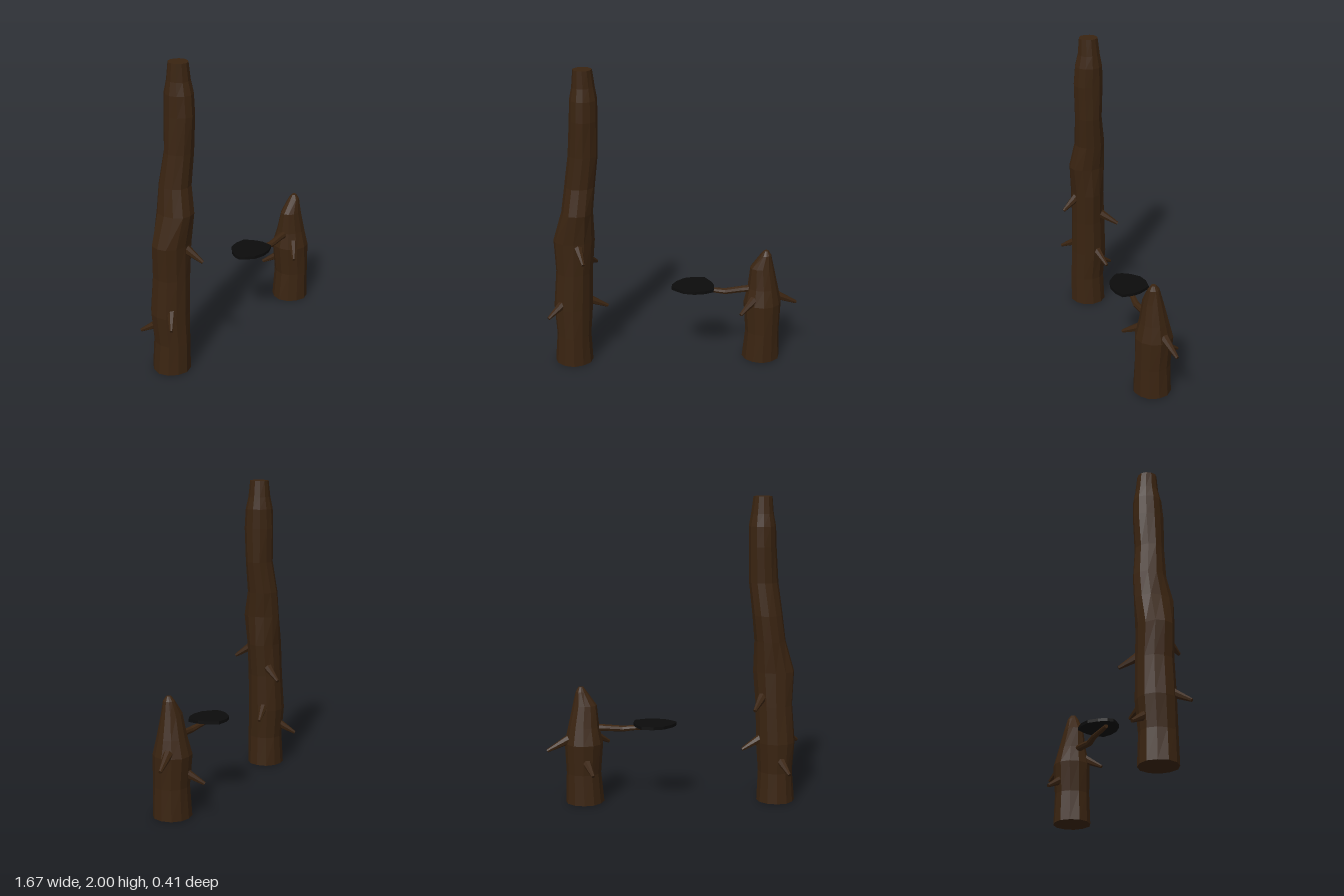
import * as THREE from 'three';

const bark = new THREE.MeshStandardMaterial({ color: 0x3a2411, flatShading: true });
bark.name = 'dark bark';
const black = new THREE.MeshStandardMaterial({ color: 0x0c0c0c, flatShading: true });
black.name = 'black leaf';

// Closed loft through horizontal rings: [y, minX, maxX, minZ, maxZ]
function loft(name, rings, sides, wobble) {
  const pos = [], idx = [];
  rings.forEach(([y, x0, x1, z0, z1], i) => {
    for (let j = 0; j < sides; j++) {
      const a = (j / sides) * Math.PI * 2;
      const k = 1 + wobble * Math.sin(j * 2.5 + i * 0.7);
      pos.push((x0 + x1) / 2 + Math.cos(a) * k * (x1 - x0) / 2, y,
        (z0 + z1) / 2 + Math.sin(a) * k * (z1 - z0) / 2);
    }
  });
  const at = (i, j) => i * sides + (j % sides);
  const last = rings.length - 1;
  for (let i = 0; i < last; i++) {
    for (let j = 0; j < sides; j++) {
      idx.push(at(i, j), at(i + 1, j), at(i, j + 1));
      idx.push(at(i, j + 1), at(i + 1, j), at(i + 1, j + 1));
    }
  }
  // End caps
  for (let j = 1; j < sides - 1; j++) {
    idx.push(at(0, 0), at(0, j), at(0, j + 1));
    idx.push(at(last, 0), at(last, j + 1), at(last, j));
  }
  const g = new THREE.BufferGeometry();
  g.setAttribute('position', new THREE.Float32BufferAttribute(pos, 3));
  g.setIndex(idx);
  const flat = g.toNonIndexed();
  flat.computeVertexNormals();
  const mesh = new THREE.Mesh(flat, bark);
  mesh.name = name;
  return mesh;
}

// Tapered stub pointing from base to tip
function stub(base, tip) {
  const a = new THREE.Vector3(...base), b = new THREE.Vector3(...tip);
  const dir = b.clone().sub(a);
  const mesh = new THREE.Mesh(new THREE.CylinderGeometry(0.011, 0.031, dir.length(), 7), bark);
  mesh.position.copy(a).add(b).multiplyScalar(0.5);
  mesh.quaternion.setFromUnitVectors(new THREE.Vector3(0, 1, 0), dir.normalize());
  mesh.name = 'brokenTwig';
  return mesh;
}

export function createModel() {
  const model = new THREE.Group();
  model.name = 'deadTrees';

  // Tall leaning trunk
  const tall = new THREE.Group();
  tall.name = 'tallTree';
  tall.add(loft('tallTrunk', [
    [0, -0.795, -0.545, -0.125, 0.12],
    [0.2, -0.78, -0.555, -0.115, 0.12],
    [0.4, -0.795, -0.54, -0.13, 0.113],
    [0.65, -0.775, -0.535, -0.12, 0.11],
    [0.87, -0.785, -0.515, -0.11, 0.112],
    [1.07, -0.725, -0.52, -0.115, 0.133],
    [1.24, -0.7, -0.503, -0.11, 0.097],
    [1.45, -0.67, -0.48, -0.083, 0.1],
    [1.68, -0.655, -0.477, -0.09, 0.11],
    [1.81, -0.65, -0.476, -0.085, 0.1],
    [1.89, -0.635, -0.49, -0.068, 0.08],
    [2, -0.626, -0.505, -0.055, 0.07],
  ], 12, 0.02));
  [
    [[-0.73, 0.44, 0.06], [-0.826, 0.37, 0.14]],
    [[-0.57, 0.43, -0.035], [-0.44, 0.36, -0.07]],
    [[-0.62, 0.84, 0.09], [-0.587, 0.767, 0.195]],
    [[-0.57, 0.71, -0.07], [-0.51, 0.64, -0.175]],
    [[-0.69, 0.29, -0.09], [-0.738, 0.22, -0.2]],
  ].forEach(([base, tip]) => tall.add(stub(base, tip)));

  // Short pointed stump
  const short = new THREE.Group();
  short.name = 'shortTree';
  short.add(loft('shortTrunk', [
    [0, 0.465, 0.715, -0.125, 0.12],
    [0.2, 0.483, 0.708, -0.115, 0.115],
    [0.4, 0.466, 0.716, -0.13, 0.113],
    [0.51, 0.49, 0.693, -0.1, 0.085],
    [0.65, 0.505, 0.663, -0.065, 0.06],
    [0.74, 0.57, 0.643, -0.035, 0.04],
    [0.77, 0.592, 0.625, -0.012, 0.02],
  ], 12, 0.02));
  [
    [[0.69, 0.43, -0.04], [0.83, 0.36, -0.07]],
    [[0.53, 0.44, 0.06], [0.434, 0.37, 0.14]],
    [[0.575, 0.29, -0.09], [0.527, 0.22, -0.2]],
  ].forEach(([base, tip]) => short.add(stub(base, tip)));

  // Side branch, lofted upright then laid along -x
  const branch = loft('sideBranch', [
    [-0.53, 0.475, 0.525, -0.025, 0.025],
    [-0.45, 0.473, 0.518, -0.022, 0.026],
    [-0.34, 0.466, 0.507, -0.012, 0.034],
    [-0.25, 0.478, 0.512, -0.017, 0.021],
    [-0.05, 0.486, 0.512, -0.013, 0.013],
  ], 8, 0);
  branch.rotation.z = Math.PI / 2;
  short.add(branch);

  // Flat leaf pad resting on the branch, outline as x, z
  const outline = [
    [-0.015, 0.02], [-0.01, -0.02], [0.02, -0.07], [0.075, -0.12], [0.14, -0.135], [0.215, -0.125],
    [0.255, -0.05], [0.267, 0], [0.26, 0.075], [0.2, 0.103], [0.13, 0.111], [0.06, 0.093], [0.01, 0.05],
  ];
  const shape = new THREE.Shape(outline.map(([x, z]) => new THREE.Vector2(x, -z)));
  const pad = new THREE.Mesh(
    new THREE.ExtrudeGeometry(shape, { depth: 0.02, bevelEnabled: false }), black);
  pad.rotation.x = -Math.PI / 2;
  pad.position.y = 0.509;
  pad.name = 'leafPad';
  short.add(pad);

  model.add(tall, short);
  return model;
}
